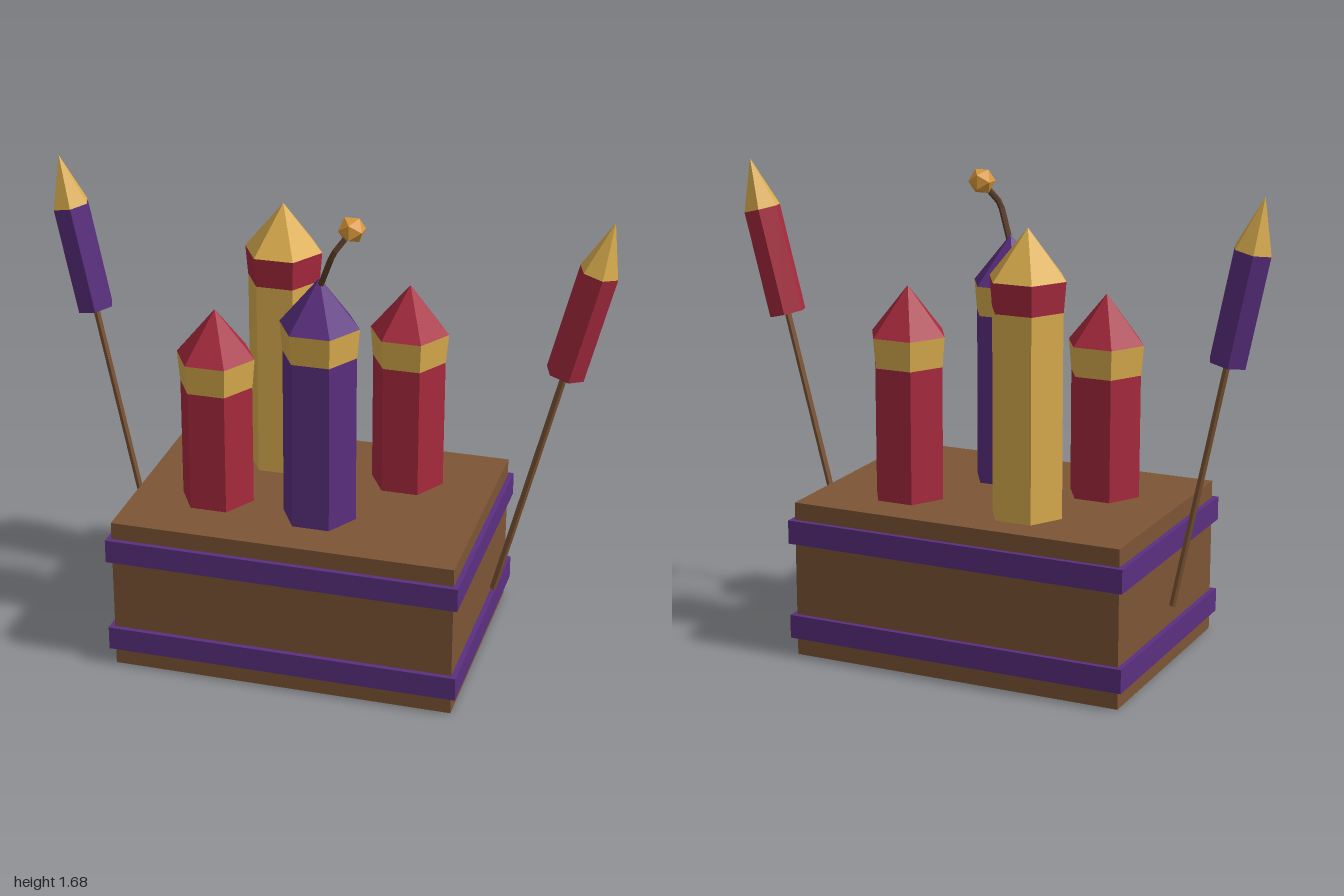
import * as THREE from 'three';

const material = (color) => new THREE.MeshStandardMaterial({ color, flatShading: true });

export function createModel() {
  const model = new THREE.Group();
  model.name = 'fireworksBox';
  const brown = material(0x7d5535);
  const purple = material(0x5b2f80);
  const red = material(0xa82a3e);
  const gold = material(0xdcae4e);
  const fuseBrown = material(0x5a3c28);
  const orange = material(0xdc9a3c);

  const add = (parent, name, geometry, mat, x = 0, y = 0, z = 0) => {
    const mesh = new THREE.Mesh(geometry, mat);
    mesh.name = name;
    mesh.position.set(x, y, z);
    parent.add(mesh);
    return mesh;
  };

  // Hexagonal prism or cone standing between heights y0 and y1
  const hex = (parent, name, rBottom, rTop, y0, y1, turn, mat) => {
    const g = new THREE.CylinderGeometry(rTop, rBottom, y1 - y0, 6);
    g.rotateY(turn);
    return add(parent, name, g, mat, 0, (y0 + y1) / 2, 0);
  };

  // Crate with two raised bands
  const cx = -0.036;
  add(model, 'crate', new THREE.BoxGeometry(1.21, 0.555, 0.864), brown, cx, 0.2775, 0);
  for (const [name, y] of [['lowerBand', 0.106], ['upperBand', 0.451]]) {
    add(model, name, new THREE.BoxGeometry(1.246, 0.084, 0.9), purple, cx, y, 0);
  }

  // Upright tubes: body, flared collar and pointed cap
  const tubes = [
    ['frontLeftTube', 0.03, 0.17, 1.16, purple, gold, purple],
    ['frontRightTube', -0.35, 0.135, 0.99, red, gold, red],
    ['backRightTube', -0.21, -0.21, 1.265, gold, red, gold],
    ['backLeftTube', 0.255, -0.176, 1.025, red, gold, red],
  ];
  for (const [name, x, z, top, body, collar, cap] of tubes) {
    const tube = new THREE.Group();
    tube.name = name;
    tube.position.set(x, 0, z);
    hex(tube, 'tubeBody', 0.13, 0.13, 0.54, top, Math.PI / 6, body);
    hex(tube, 'tubeCollar', 0.131, 0.14, top, top + 0.105, Math.PI / 6, collar);
    hex(tube, 'tubeCap', 0.14, 0, top + 0.105, top + 0.275, Math.PI / 6, cap);
    model.add(tube);
  }

  // Bent fuse with a spark on the tallest front tube
  const bends = [[0.035, 1.41, 0.175], [0.085, 1.535, 0.205], [0.14, 1.612, 0.17]]
    .map((p) => new THREE.Vector3(...p));
  const path = new THREE.CurvePath();
  path.add(new THREE.LineCurve3(bends[0], bends[1]));
  path.add(new THREE.LineCurve3(bends[1], bends[2]));
  add(model, 'fuse', new THREE.TubeGeometry(path, 8, 0.011, 6), fuseBrown);
  add(model, 'spark', new THREE.IcosahedronGeometry(0.048, 0), orange, 0.14, 1.615, 0.17);

  // Rockets on sticks, leaning outwards
  const rockets = [
    ['leftRocket', 0.615, 0, -14.4, red],
    ['rightRocket', -0.697, -0.09, 11.5, purple],
  ];
  for (const [name, x, z, lean, mat] of rockets) {
    const rocket = new THREE.Group();
    rocket.name = name;
    rocket.position.set(x, 0.262, z);
    rocket.rotation.z = THREE.MathUtils.degToRad(lean);
    const turn = THREE.MathUtils.degToRad(20);
    hex(rocket, 'rocketStick', 0.012, 0.012, 0, 0.9, turn, brown);
    hex(rocket, 'rocketBody', 0.068, 0.068, 0.88, 1.265, turn, mat);
    hex(rocket, 'rocketNose', 0.068, 0, 1.265, 1.447, turn, gold);
    model.add(rocket);
  }

  return model;
}
